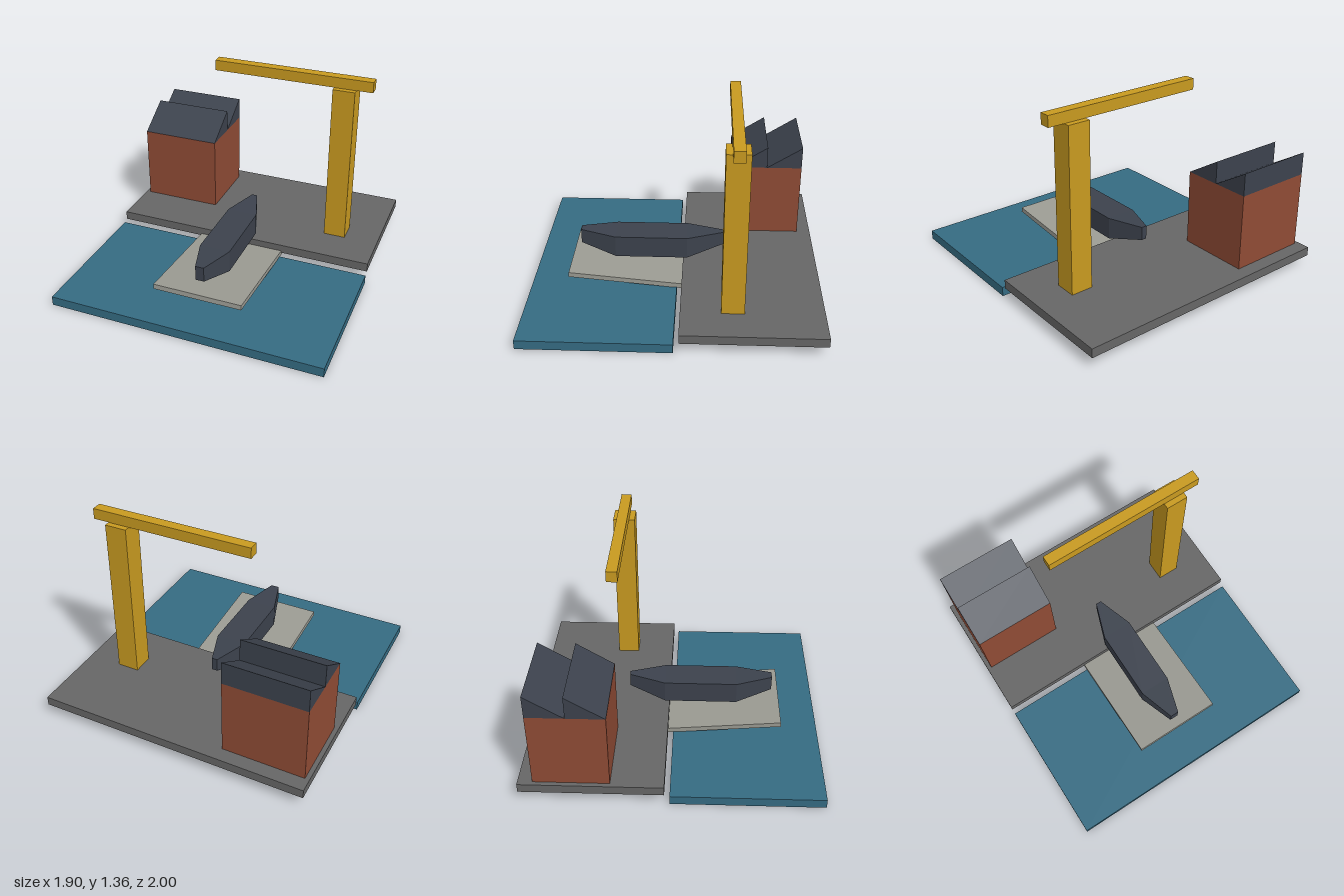
import * as THREE from 'three';

const mat = (name, color) => {
  const m = new THREE.MeshStandardMaterial({ color });
  m.name = name;
  return m;
};

export function createModel() {
  const group = new THREE.Group();
  const water = mat('waterBlue', 0x356b82);
  const stone = mat('quayGrey', 0x666666);
  const concrete = mat('slipwayGrey', 0x9b9b93);
  const brick = mat('brickRed', 0x8f4b35);
  const slate = mat('slateDark', 0x3c424d);
  const yellow = mat('craneYellow', 0xc89a20);

  const add = (name, geometry, material) => {
    const mesh = new THREE.Mesh(geometry, material);
    mesh.name = name;
    group.add(mesh);
    return mesh;
  };
  // Box given by its limits on each axis
  const box = (name, material, [x0, x1], [y0, y1], [z0, z1]) => {
    const mesh = add(name, new THREE.BoxGeometry(x1 - x0, y1 - y0, z1 - z0), material);
    mesh.position.set((x0 + x1) / 2, (y0 + y1) / 2, (z0 + z1) / 2);
    return mesh;
  };

  // Ground slabs
  box('waterBasin', water, [-0.95, 0.95], [0, 0.065], [-0.015, 1]);
  box('quay', stone, [-0.95, 0.95], [0.077, 0.14], [-1, -0.05]);

  // Sloping slipway
  const slipway = add('slipway', new THREE.BoxGeometry(0.63, 0.035, 1.141), concrete);
  slipway.position.set(0, 0.095, 0.173);
  slipway.rotation.x = -0.092;

  // Crane
  box('craneMast', yellow, [0.555, 0.71], [0.14, 1.285], [-0.473, -0.32]);
  box('craneJib', yellow, [-0.317, 0.823], [1.285, 1.36], [-0.433, -0.36]);

  // Workshop with a sawtooth roof, each tooth steep at the back
  box('workshopWalls', brick, [-0.92, -0.35], [0.14, 0.677], [-0.903, -0.4]);
  const tooth = new THREE.Shape([[0, 0], [0.2515, 0], [0, 0.16]].map(p => new THREE.Vector2(...p)));
  const toothGeometry = new THREE.ExtrudeGeometry(tooth, { depth: 0.57, bevelEnabled: false });
  toothGeometry.rotateY(-Math.PI / 2); // profile along +z, depth along -x
  for (const z of [-0.903, -0.6515]) {
    add('roofTooth', toothGeometry, slate).position.set(-0.35, 0.677, z);
  }

  // Ship hull: rectangular sections as [z, half width, bottom, top], stern to bow
  const sections = [
    [-0.335, 0.02, 0.243, 0.34],
    [-0.08, 0.108, 0.177, 0.335],
    [0.43, 0.108, 0.177, 0.335],
    [0.683, 0.03, 0.24, 0.346],
  ];
  const rings = sections.map(([z, w, b, t]) => [[-w, b, z], [w, b, z], [w, t, z], [-w, t, z]]);
  const pos = [];
  const quad = (a, b, c, d) => pos.push(...a, ...b, ...c, ...a, ...c, ...d);
  for (let i = 0; i < rings.length - 1; i++) {
    for (let j = 0; j < 4; j++) {
      const k = (j + 1) % 4;
      quad(rings[i][j], rings[i][k], rings[i + 1][k], rings[i + 1][j]);
    }
  }
  const [s0, s1, s2, s3] = rings[0];
  quad(s3, s2, s1, s0);
  quad(...rings[rings.length - 1]);
  const hull = new THREE.BufferGeometry();
  hull.setAttribute('position', new THREE.Float32BufferAttribute(pos, 3));
  hull.computeVertexNormals();
  add('shipHull', hull, slate);

  return group;
}
